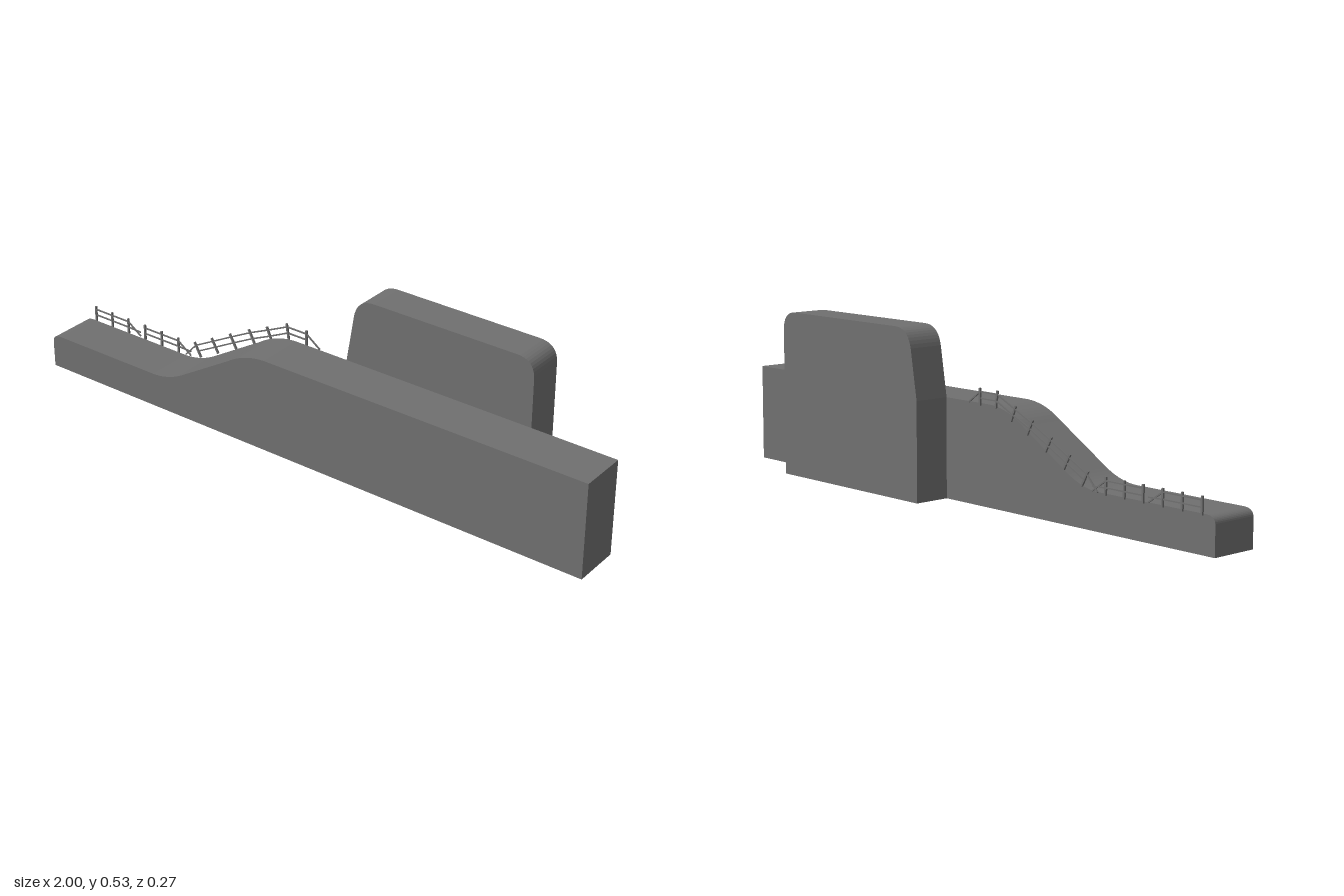
import * as THREE from 'three';

const material = new THREE.MeshStandardMaterial({ color: 0x707070 });
const FENCE_Z = -0.023;
const BLOCK_FRONT = -0.018;

// Extrudes a side profile along z from z0 to z1
function slab(name, shape, z0, z1) {
  const geometry = new THREE.ExtrudeGeometry(shape, { depth: z1 - z0, bevelEnabled: false, curveSegments: 10 });
  geometry.translate(0, 0, z0);
  const mesh = new THREE.Mesh(geometry, material);
  mesh.name = name;
  return mesh;
}

// Thin square bar between two points of the fence plane
function bar(name, a, b, width) {
  const d = b.clone().sub(a);
  const mesh = new THREE.Mesh(new THREE.BoxGeometry(d.length(), width, width), material);
  mesh.position.set((a.x + b.x) / 2, (a.y + b.y) / 2, FENCE_Z);
  mesh.rotation.z = d.angle();
  mesh.name = name;
  return mesh;
}

// Fence run: posts at the given [x, y, tilt] top-rail points and two rails;
// feet lists pairs [post index, offset from the top rail, end point] of rail ends
function fence(name, posts, feet) {
  const group = new THREE.Group();
  group.name = name;
  const at = (i, offset) => {
    const [x, y, tilt] = posts[i];
    return new THREE.Vector2(x - Math.sin(tilt) * offset, y + Math.cos(tilt) * offset);
  };

  posts.forEach((p, i) => group.add(bar('post', at(i, -0.042), at(i, 0.011), 0.006)));
  for (const offset of [0, -0.02]) {
    for (let i = 0; i + 1 < posts.length; i++) {
      group.add(bar('rail', at(i, offset), at(i + 1, offset), 0.004));
    }
  }
  for (const [i, offset, end] of feet) {
    group.add(bar('railEnd', at(i, offset), new THREE.Vector2(...end), 0.004));
  }
  return group;
}

export function createModel() {
  const model = new THREE.Group();
  model.name = 'rampWithFence';

  // Long base: low step, smooth ramp, high platform
  const base = new THREE.Shape();
  base.moveTo(-1, 0);
  base.lineTo(1, 0);
  base.lineTo(1, 0.31);
  base.lineTo(-0.12, 0.31);
  base.quadraticCurveTo(-0.195, 0.307, -0.26, 0.262);
  base.lineTo(-0.45, 0.148);
  base.quadraticCurveTo(-0.51, 0.114, -0.57, 0.114);
  base.lineTo(-0.965, 0.114);
  base.quadraticCurveTo(-1, 0.114, -1, 0.087);
  base.closePath();
  model.add(slab('rampBase', base, BLOCK_FRONT, 0.137));

  // Tall rounded block standing behind the platform
  const block = new THREE.Shape();
  block.moveTo(0.072, 0);
  block.lineTo(0.72, 0);
  block.lineTo(0.72, 0.465);
  block.quadraticCurveTo(0.72, 0.526, 0.66, 0.526);
  block.lineTo(0.17, 0.526);
  block.quadraticCurveTo(0.11, 0.526, 0.098, 0.465);
  block.lineTo(0.072, 0.31);
  block.closePath();
  model.add(slab('backBlock', block, -0.137, BLOCK_FRONT));

  // Two level fence runs on the low step
  for (const x of [-0.957, -0.743]) {
    const posts = [0, 1, 2].map((i) => [x + i * 0.071, 0.152, 0]);
    model.add(fence('lowerFence', posts, [
      [2, 0, [x + 0.194, 0.116]],
      [2, -0.02, [x + 0.194, 0.13]],
    ]));
  }

  // Fence following the ramp up to the platform
  const climb = [
    [-0.527, 0.16, 0.5], [-0.455, 0.198, 0.5], [-0.38, 0.238, 0.5], [-0.303, 0.278, 0.48],
    [-0.232, 0.31, 0.4], [-0.157, 0.345, 0.15], [-0.083, 0.345, 0],
  ];
  model.add(fence('rampFence', climb, [
    [0, 0, [-0.57, 0.114]],
    [6, 0, [-0.032, 0.308]],
  ]));

  return model;
}
